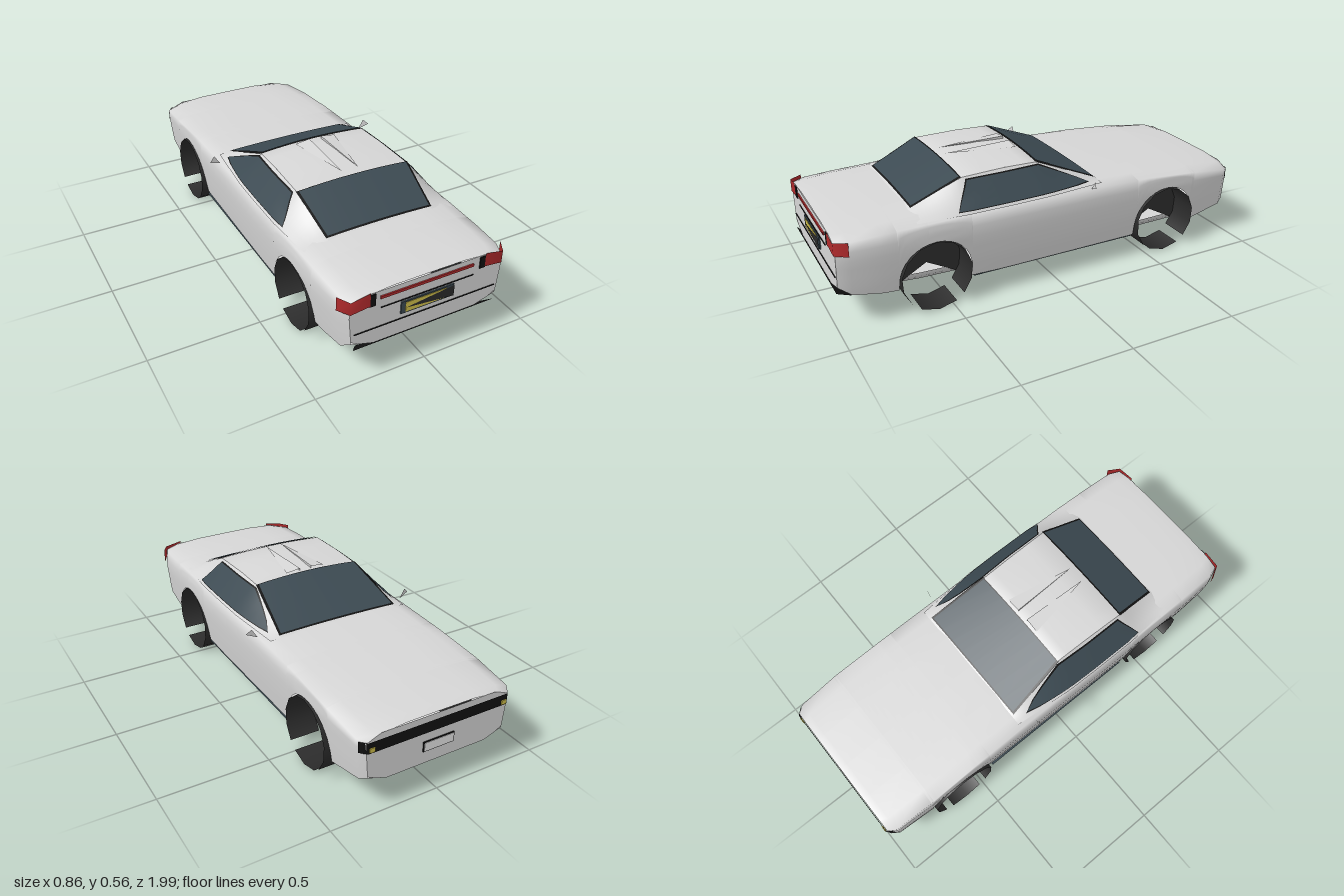
import * as THREE from 'three';

const mat = (name, color, side = THREE.DoubleSide) => {
  const m = new THREE.MeshStandardMaterial({ color, side });
  m.name = name;
  return m;
};
const lerp = THREE.MathUtils.lerp;

// Piecewise linear lookup: rows are [key, ...values] with ascending keys
function lookup(rows, k) {
  if (k <= rows[0][0]) return rows[0].slice(1);
  for (let i = 1; i < rows.length; i++) {
    if (k <= rows[i][0]) {
      const a = rows[i - 1], b = rows[i], t = (k - a[0]) / (b[0] - a[0]);
      return a.slice(1).map((v, j) => lerp(v, b[j + 1], t));
    }
  }
  return rows[rows.length - 1].slice(1);
}

// Body stations: z, half width, bottom, shoulder height, deck height
const STATIONS = [
  [-0.985, 0.342, 0.14, 0.335, 0.362], [-0.95, 0.366, 0.125, 0.345, 0.372],
  [-0.75, 0.376, 0.078, 0.37, 0.388], [-0.5, 0.379, 0.075, 0.39, 0.402],
  [-0.2, 0.381, 0.075, 0.40, 0.418], [0.2, 0.385, 0.075, 0.405, 0.425],
  [0.6, 0.385, 0.085, 0.405, 0.432], [0.8, 0.380, 0.10, 0.402, 0.425],
  [0.93, 0.373, 0.125, 0.397, 0.418], [0.985, 0.352, 0.165, 0.388, 0.41],
];
// Side bulge: height, fraction of the half width
const BULGE = [[0.07, 0.92], [0.105, 0.935], [0.2, 0.97], [0.32, 1], [0.37, 0.995], [0.415, 0.965]];
// Cabin stations: z, base half width, roof half width, roof edge height, roof centre height
const CABIN = [
  [-0.25, 0.35, 0.30, 0.415, 0.42], [0.04, 0.375, 0.262, 0.535, 0.548],
  [0.2, 0.378, 0.265, 0.54, 0.556], [0.41, 0.378, 0.27, 0.535, 0.546],
  [0.64, 0.36, 0.25, 0.43, 0.436],
];
const BASE = 0.41, WHEEL_Z = [0.57, -0.6], WHEEL_R = 0.16, ARCH_R = 0.163;

const sideX = (y, w) => w * lookup(BULGE, y)[0];
const inArch = z => WHEEL_Z.some(c => Math.abs(z - c) <= ARCH_R);
function sillY(z, bottom) {
  for (const c of WHEEL_Z) {
    const d = z - c;
    if (Math.abs(d) <= ARCH_R) return 0.16 + Math.sqrt(Math.max(0, ARCH_R ** 2 - d * d));
  }
  return bottom + 0.03;
}
function cabinX(y, z) {
  const [xb, xt, yt] = lookup(CABIN, z);
  return lerp(xb, xt, (y - BASE) / (yt - BASE));
}

export function createModel() {
  const car = new THREE.Group();
  car.name = 'car';
  const paint = mat('silver paint', 0xd6d6d6);
  const glass = mat('slate glass', 0x3c4a52);
  const black = mat('black trim', 0x121212);
  const rubber = mat('dark rubber', 0x2b2b2b);
  const disc = mat('wheel disc', 0x2d2d2d, THREE.FrontSide);
  const red = mat('tail red', 0xb02a2c);
  const yellow = mat('plate yellow', 0xd0be4a);
  const white = mat('plate white', 0xececec);

  const add = (name, geo, m) => {
    const mesh = new THREE.Mesh(geo, m);
    mesh.name = name;
    car.add(mesh);
    return mesh;
  };
  // Surface from a rule over a grid; u and v run from 0 to 1
  function patch(name, m, nu, nv, fn) {
    const pos = [], idx = [];
    for (let j = 0; j <= nv; j++) for (let i = 0; i <= nu; i++) pos.push(...fn(i / nu, j / nv));
    for (let j = 0; j < nv; j++) for (let i = 0; i < nu; i++) {
      const a = j * (nu + 1) + i, b = a + nu + 1;
      idx.push(a, a + 1, b, a + 1, b + 1, b);
    }
    const g = new THREE.BufferGeometry();
    g.setAttribute('position', new THREE.Float32BufferAttribute(pos, 3));
    g.setIndex(idx);
    g.computeVertexNormals();
    return add(name, g, m);
  }
  const box = (name, m, x, y, z, w, h, d = 0.006) =>
    add(name, new THREE.BoxGeometry(w, h, d).translate(x, y, z), m);
  const triangle = (name, m, a, b, c) => {
    const g = new THREE.BufferGeometry().setFromPoints([a, b, c].map(p => new THREE.Vector3(...p)));
    g.computeVertexNormals();
    return add(name, g, m);
  };

  // Lengthwise samples, dense around the wheel arches
  let zs = STATIONS.map(s => s[0]);
  for (const c of WHEEL_Z) {
    for (let k = 0; k <= 16; k++) zs.push(c + ARCH_R * 0.99999 * Math.cos(k * Math.PI / 16));
    zs.push(c - ARCH_R - 0.001, c + ARCH_R + 0.001);
  }
  zs = [...new Set(zs)].sort((a, b) => a - b);
  const nz = zs.length - 1, zAt = v => zs[Math.round(v * nz)];

  // Body shell: both sides and the decks in one surface
  const SIDE = 6, HALF = SIDE + 3;
  patch('bodyShell', paint, HALF * 2, nz, (u, v) => {
    const z = zAt(v), [w, b, sh, top] = lookup(STATIONS, z);
    const k = Math.round(u * HALF * 2), s = k <= HALF ? 1 : -1, i = k <= HALF ? k : HALF * 2 - k;
    if (i <= SIDE) {
      const y = lerp(sillY(z, b), sh, i / SIDE);
      return [s * sideX(y, w), y, z];
    }
    const e = (i - SIDE) / 3;
    return [s * lerp(sideX(sh, w), 0, e ** 1.6), sh + (top + 0.006 - sh) * Math.sin(Math.min(1, e * 1.3) * Math.PI / 2), z];
  });
  // Floor with chamfered edges
  patch('floor', paint, 3, nz, (u, v) => {
    const z = zAt(v), [w, b] = lookup(STATIONS, z), k = Math.round(u * 3);
    if (k === 1 || k === 2) return [k === 1 ? -0.24 : 0.24, b, z];
    return [(k ? 1 : -1) * (inArch(z) ? 0.245 : sideX(b + 0.03, w)), b + 0.03, z];
  });
  // Nose and tail panels
  for (const [name, z] of [['nosePanel', -0.985], ['tailPanel', 0.985]]) {
    const [w, b, sh, top] = lookup(STATIONS, z);
    patch(name, paint, 2, 12, (u, v) => {
      const y = lerp(b, top, v);
      let x = sideX(Math.min(y, sh), w);
      if (y < b + 0.03) x = lerp(0.24, x, (y - b) / 0.03);
      if (y > sh) x *= 1 - 0.2 * (y - sh) / (top - sh);
      return [(u * 2 - 1) * x, y, z];
    });
  }

  // Cabin sides and roof
  for (const s of [-1, 1]) {
    patch('cabinSide', paint, 4, 30, (u, v) => {
      const z = lerp(-0.25, 0.64, v), y = lerp(BASE, lookup(CABIN, z)[2], u);
      return [s * cabinX(y, z), y, z];
    });
  }
  const roofPoint = (u, z, grow, lift) => {
    const [, xt, yt, yc] = lookup(CABIN, z), q = u * 2 - 1;
    return [q * (xt + grow), lerp(yc, yt, q * q) + lift, z];
  };
  const cabinZ = [-0.25, 0.04, 0.1, 0.2, 0.3, 0.41, 0.64];
  patch('roof', paint, 8, 6, (u, v) => roofPoint(u, cabinZ[Math.round(v * 6)], 0, 0));

  // Windscreen and rear window over black surrounds
  for (const [name, z0, z1] of [['windscreen', -0.235, 0.04], ['rearWindow', 0.412, 0.625]]) {
    patch(name + 'Surround', black, 8, 1, (u, v) => roofPoint(u, lerp(z0 - 0.006, z1 + 0.006, v), 0.004, 0.003));
    patch(name, glass, 8, 1, (u, v) => roofPoint(u, lerp(z0, z1, v), -0.006, 0.006));
  }
  // Side windows
  const sideWindow = (name, m, s, e, off) => patch(name, m, 10, 4, (u, v) => {
    const y = lerp(0.425 - e, 0.525 + e, v);
    const z = lerp(lerp(-0.185 - e * 2, 0.04 - e, v), lerp(0.455 + e, 0.385 + e, v), u);
    return [s * (cabinX(y, z) + off), y, z];
  });
  for (const s of [-1, 1]) {
    sideWindow('sideWindowSurround', black, s, 0.004, 0.003);
    sideWindow('sideWindow', glass, s, 0, 0.006);
    // Sill strip along the lower chamfer
    patch('sillStrip', glass, 1, 1, (u, v) =>
      [s * lerp(0.262, 0.366, u), lerp(0.073, 0.108, u), lerp(-0.42, 0.395, v)]);
    // Door mirror
    triangle('doorMirror', paint, [s * 0.378, 0.405, -0.18], [s * 0.43, 0.426, -0.17], [s * 0.405, 0.45, -0.18]);
    // Roof ridge
    triangle('roofRidge', paint, [s * 0.03, 0.562, 0.06], [s * 0.1, 0.552, 0.06], [s * 0.04, 0.558, 0.38]);
    triangle('roofRidge', paint, [s * 0.03, 0.562, 0.06], [s * 0.03, 0.55, 0.06], [s * 0.04, 0.558, 0.38]);
  }

  // Wheels: open treads with a gap either side of the contact patch, inner disc and wheel well
  const BOTTOM = Math.PI * 1.5;
  for (const zc of WHEEL_Z) for (const s of [-1, 1]) {
    const wheel = new THREE.Group();
    wheel.name = 'wheel';
    for (const [start, len, n] of [[BOTTOM - Math.PI / 6, Math.PI / 3, 2], [BOTTOM + 0.813, Math.PI * 2 - 1.626, 10]]) {
      const tread = new THREE.Mesh(new THREE.CylinderGeometry(WHEEL_R, WHEEL_R, 0.14, n, 1, true, start, len).rotateZ(Math.PI / 2), rubber);
      tread.name = 'tread';
      tread.position.x = s * 0.315;
      wheel.add(tread);
    }
    const inner = new THREE.Mesh(new THREE.CircleGeometry(WHEEL_R, 12).rotateY(-s * Math.PI / 2), disc);
    inner.name = 'innerDisc';
    const well = new THREE.Mesh(new THREE.CircleGeometry(ARCH_R, 14, -0.5, Math.PI + 1).rotateY(-s * Math.PI / 2), rubber);
    well.name = 'wheelWell';
    inner.position.x = s * 0.245;
    well.position.x = s * 0.247;
    wheel.add(inner, well);
    wheel.position.set(0, WHEEL_R, zc);
    car.add(wheel);
  }

  // Tail lamps wrapping the corners
  const LAMP = [[0.265, 0.99, 0.355, 0.418], [0.35, 0.99, 0.345, 0.403], [0.381, 0.935, 0.342, 0.405]];
  for (const s of [-1, 1]) {
    patch('tailLamp', red, 2, 1, (u, v) => {
      const [x, z, lo, hi] = LAMP[Math.round(u * 2)];
      return [s * x, lerp(lo, hi, v), z];
    });
    box('lampHousing', black, s * 0.254, 0.378, 0.987, 0.026, 0.054);
  }
  // Tail trim
  box('redStrip', red, -0.005, 0.38, 0.988, 0.43, 0.012);
  box('trunkSeam', black, 0, 0.33, 0.986, 0.43, 0.003);
  box('bumperSeam', black, 0, 0.239, 0.986, 0.66, 0.003);
  box('rearPlateFrame', glass, -0.002, 0.293, 0.988, 0.245, 0.057);
  box('rearPlate', yellow, -0.01, 0.293, 0.99, 0.19, 0.045);
  triangle('rearPlateWedge', rubber, [-0.107, 0.292, 0.9945], [0.12, 0.267, 0.9945], [0.12, 0.319, 0.9945]);
  patch('diffuser', black, 1, 1, (u, v) =>
    [(u * 2 - 1) * lerp(0.28, 0.335, v), lerp(0.108, 0.166, v), lerp(0.915, 0.99, v)]);

  // Nose trim
  const GRILLE = [[-0.362, -0.962], [-0.335, -0.991], [0.335, -0.991], [0.362, -0.962]];
  patch('grille', black, 3, 1, (u, v) => {
    const [x, z] = GRILLE[Math.round(u * 3)];
    return [x, lerp(0.288, 0.338, v), z];
  });
  for (const s of [-1, 1]) box('noseLamp', yellow, s * 0.318, 0.303, -0.992, 0.025, 0.02);
  box('frontPlateFrame', black, 0, 0.222, -0.987, 0.15, 0.046);
  box('frontPlate', white, 0, 0.222, -0.989, 0.142, 0.039);
  return car;
}
